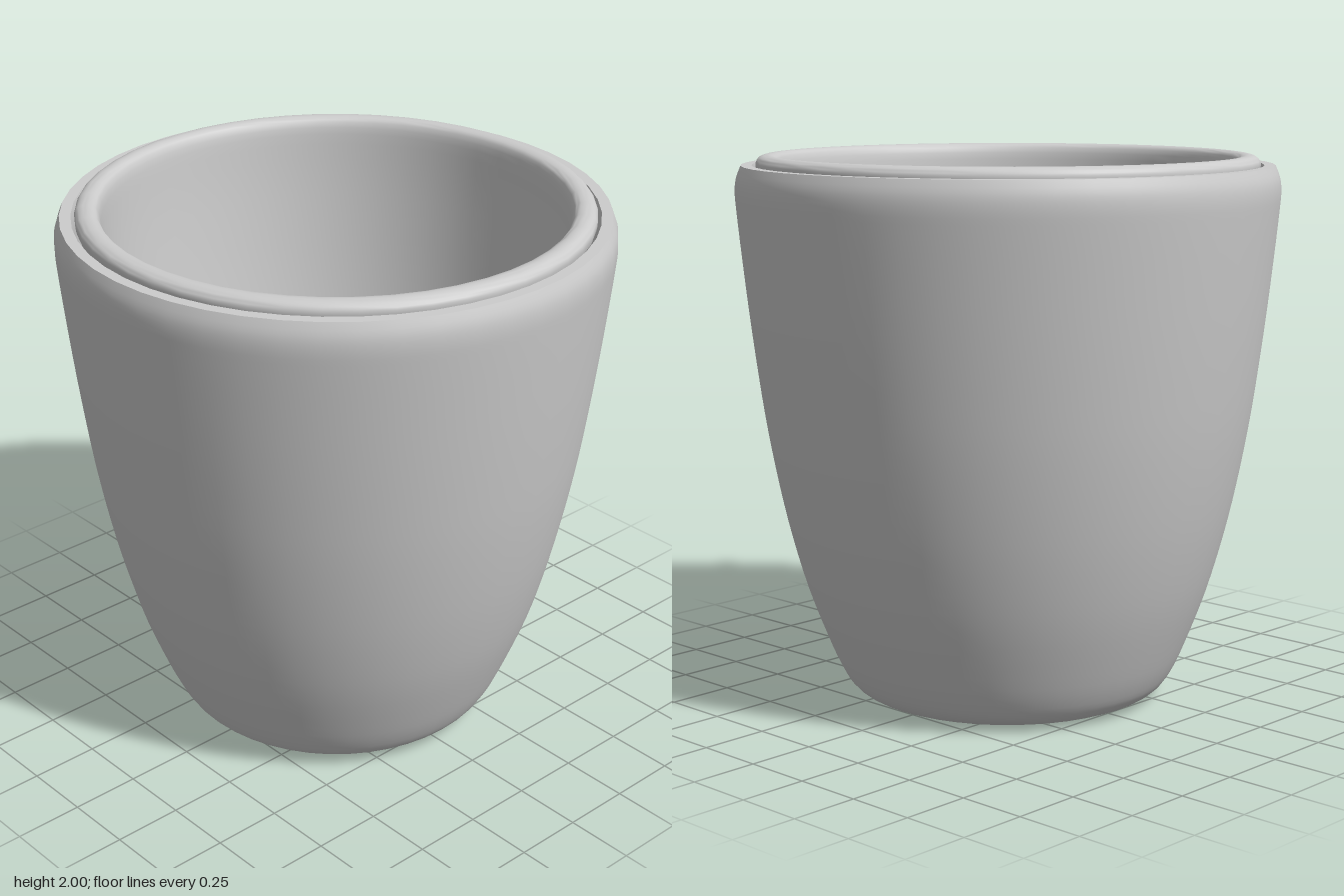
import * as THREE from 'three';
import { toCreasedNormals } from 'three/addons/utils/BufferGeometryUtils.js';

const SEGMENTS = 48;
const material = new THREE.MeshStandardMaterial({ color: 0xcccccc });

const vectors = (pairs) => pairs.map(([x, y]) => new THREE.Vector2(x, y));
const smooth = (pairs, n) => new THREE.SplineCurve(vectors(pairs)).getPoints(n);

function addMesh(group, name, geometry, crease = 0.7) {
  const mesh = new THREE.Mesh(toCreasedNormals(geometry, crease), material);
  mesh.name = name;
  group.add(mesh);
  return mesh;
}

export function createModel() {
  const model = new THREE.Group();
  model.name = 'planter';

  // Outer pot: rounded foot, flared wall, soft shoulder, then down the inside
  const outerWall = smooth([
    [0.45, 0], [0.53, 0.015], [0.585, 0.05], [0.625, 0.11], [0.67, 0.21], [0.745, 0.41],
    [0.805, 0.62], [0.85, 0.82], [0.89, 1.04], [0.92, 1.25], [0.945, 1.45], [0.967, 1.65],
    [0.982, 1.8], [0.987, 1.87], [0.982, 1.92], [0.965, 1.965],
  ], 48);
  const innerWall = smooth([
    [0.918, 1.94], [0.9, 1.65], [0.85, 1.25], [0.775, 0.82], [0.675, 0.41],
    [0.6, 0.21], [0.56, 0.13], [0.5, 0.08], [0.4, 0.06],
  ], 32);
  addMesh(model, 'outerPot', new THREE.LatheGeometry([
    new THREE.Vector2(0, 0), ...outerWall,
    ...vectors([[0.925, 1.965]]), ...innerWall, new THREE.Vector2(0, 0.06),
  ], SEGMENTS));

  // Liner: outer skin, rolled rim, and tapering inside wall down to the floor
  const floorY = 0.4;
  addMesh(model, 'liner', new THREE.LatheGeometry([
    ...smooth([[0.61, floorY - 0.03], [0.71, 0.82], [0.79, 1.3], [0.84, 1.7], [0.85, 1.94]], 16),
    ...smooth([
      [0.908, 1.94], [0.912, 1.97], [0.902, 1.99], [0.88, 2], [0.855, 2], [0.835, 1.99], [0.825, 1.965],
    ], 16),
    ...smooth([[0.822, 1.94], [0.805, 1.7], [0.76, 1.3], [0.685, 0.82], [0.59, floorY]], 16),
  ], SEGMENTS));

  // Perforated liner floor around the central well
  const floor = new THREE.Shape().absarc(0, 0, 0.61, 0, Math.PI * 2);
  floor.holes.push(new THREE.Path().absarc(0, 0, 0.36, 0, Math.PI * 2, true));
  for (let i = 0; i < 8; i++) {
    const a = (i + 0.5) * Math.PI / 4;
    floor.holes.push(new THREE.Path().absarc(
      0.488 * Math.cos(a), 0.488 * Math.sin(a), 0.065, 0, Math.PI * 2, true));
  }
  const floorGeometry = new THREE.ExtrudeGeometry(floor, {
    depth: 0.03, bevelEnabled: false, curveSegments: 24,
  });
  floorGeometry.rotateX(-Math.PI / 2).translate(0, floorY - 0.03, 0);
  addMesh(model, 'linerFloor', floorGeometry);

  // Central well with a shallow recessed disc at its bottom
  addMesh(model, 'linerWell', new THREE.LatheGeometry(vectors([
    [0, 0.07], [0.36, 0.07], [0.38, floorY - 0.01], [0.355, floorY - 0.01],
    [0.352, 0.11], [0.255, 0.11], [0.252, 0.09], [0, 0.09],
  ]), SEGMENTS));

  return model;
}
